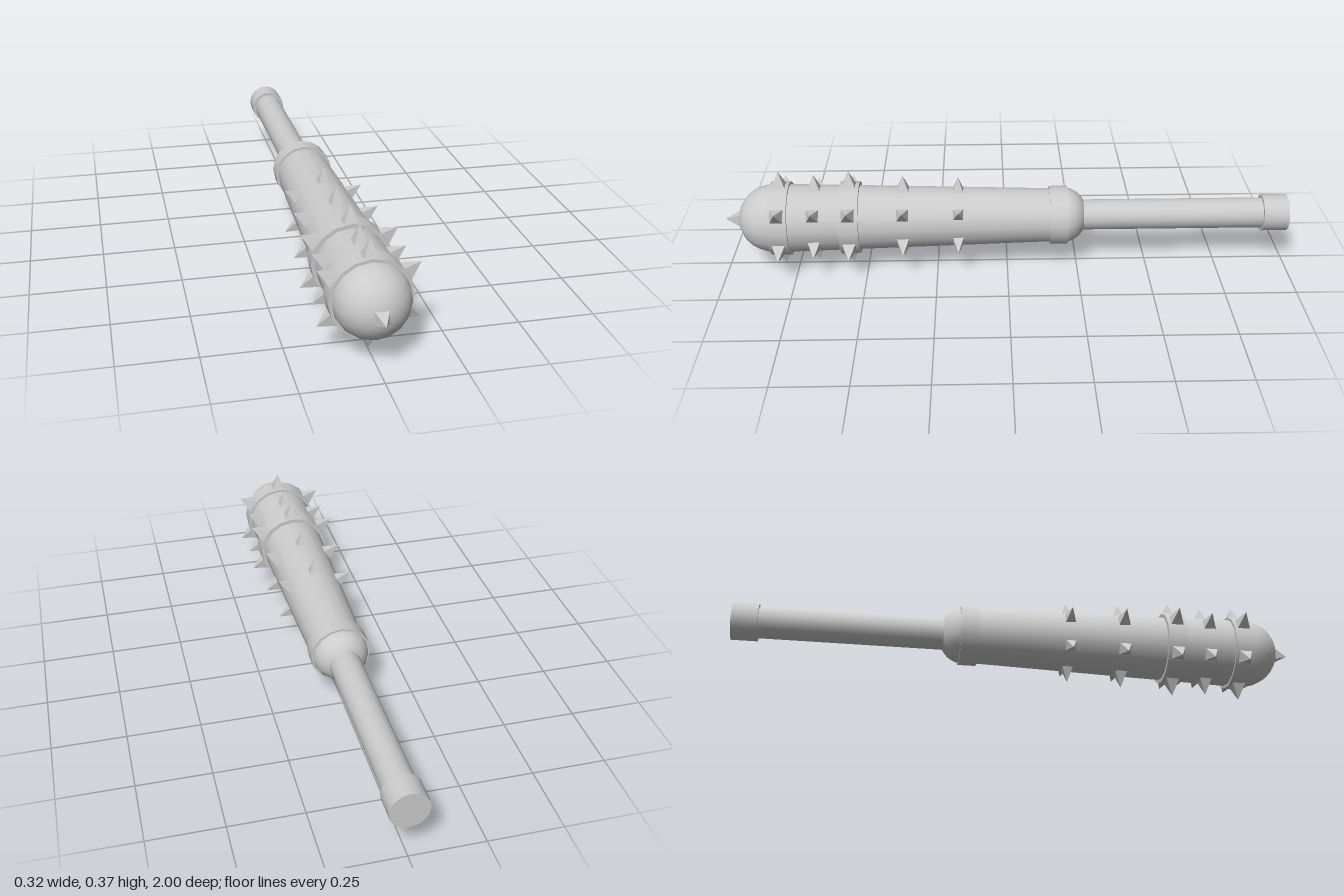
import * as THREE from 'three';

const AXIS_Y = 0.183; // height of the club's long axis
const SIDES = 16;

export function createModel() {
  const group = new THREE.Group();
  const smooth = new THREE.MeshStandardMaterial({ color: 0xcccccc });
  const faceted = new THREE.MeshStandardMaterial({ color: 0xcccccc, flatShading: true });

  const add = (name, geometry, material = smooth) => {
    const mesh = new THREE.Mesh(geometry, material);
    mesh.name = name;
    mesh.position.y = AXIS_Y;
    group.add(mesh);
  };

  // Capped round section lying along z
  const section = (name, zBack, zFront, rBack, rFront) => {
    const g = new THREE.CylinderGeometry(rFront, rBack, zFront - zBack, SIDES);
    add(name, g.rotateX(Math.PI / 2).translate(0, 0, (zBack + zFront) / 2));
  };

  // Elliptical dome on the z axis, swept between two angles (0 = rim, +-90 deg = pole)
  const dome = (name, z, radius, length, from, to) => {
    const points = [];
    for (let i = 0; i <= 8; i++) {
      const a = from + ((to - from) * i) / 8;
      points.push(new THREE.Vector2(Math.max(0, radius * Math.cos(a)), z + length * Math.sin(a)));
    }
    add(name, new THREE.LatheGeometry(points, SIDES).rotateX(Math.PI / 2));
  };

  // Square pyramid pointing up +y, starting at the given height
  const pyramid = (half, base, tip) =>
    new THREE.ConeGeometry(half * Math.SQRT2, tip - base, 4)
      .rotateY(Math.PI / 4)
      .translate(0, (base + tip) / 2, 0);

  // Handle
  section('pommel', -1, -0.91, 0.065, 0.065);
  section('handle', -0.92, -0.2, 0.054, 0.054);

  // Tapered head with rounded ends
  dome('rearShoulder', -0.205, 0.097, 0.08, -1.0, 0);
  section('body', -0.205, 0.83, 0.094, 0.123);
  dome('noseDome', 0.83, 0.121, 0.121, 0, Math.PI / 2);

  // Raised bands
  section('collar', -0.214, -0.15, 0.104, 0.104);
  section('middleBand', 0.52, 0.588, 0.128, 0.13);
  section('frontBand', 0.766, 0.834, 0.131, 0.131);

  // Rings of six spikes: z, half width, base radius, tip radius
  const rings = [
    [0.8, 0.025, 0.122, 0.183],
    [0.678, 0.022, 0.113, 0.17],
    [0.555, 0.025, 0.12, 0.182],
    [0.367, 0.021, 0.106, 0.163],
    [0.173, 0.019, 0.1, 0.154],
  ];
  for (const [z, half, base, tip] of rings) {
    for (let i = 0; i < 6; i++) {
      const g = pyramid(half, base, tip).rotateZ((i * Math.PI) / 3).translate(0, 0, z);
      add('spike', g, faceted);
    }
  }
  add('noseSpike', pyramid(0.025, 0.94, 1).rotateX(Math.PI / 2), faceted);

  return group;
}
